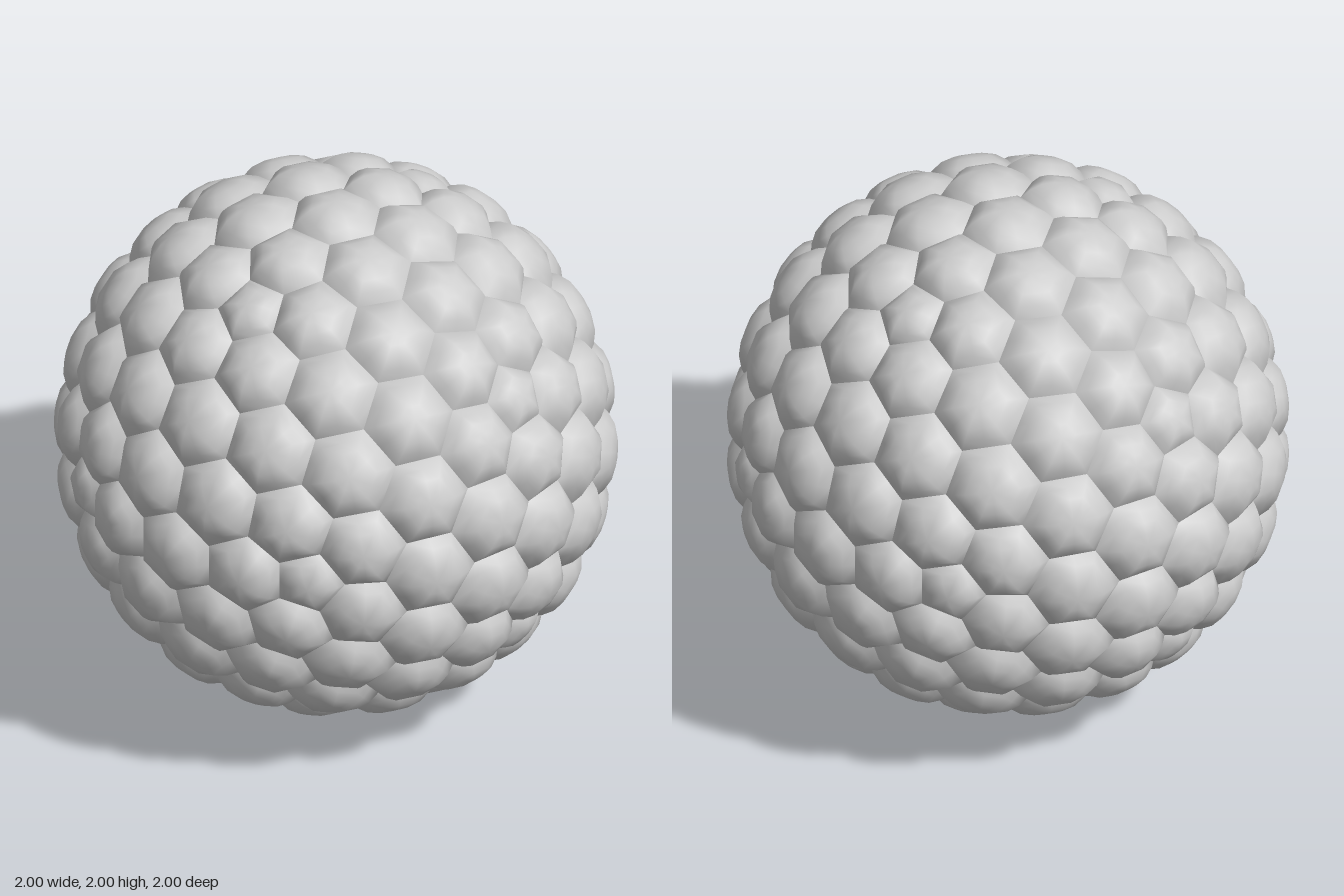
import * as THREE from 'three';
import { mergeGeometries, mergeVertices } from 'three/addons/utils/BufferGeometryUtils.js';

const SEAM = 0.94;                  // radius of the grooves between cells
const RINGS = [0.3, 0.58, 0.82, 1]; // rings of each dome, centre to rim
const SIDE_STEPS = 2;               // segments along each cell side

// One pillow-shaped cell: a polygon rim lifted into a dome with smooth normals
function domeCell(corners, peak) {
  const base = new THREE.Vector3();
  corners.forEach((c) => base.addScaledVector(c, 1 / corners.length));
  const out = base.clone().normalize();
  const height = peak - base.length();

  const rim = [];
  corners.forEach((c, k) => {
    const next = corners[(k + 1) % corners.length];
    for (let j = 0; j < SIDE_STEPS; j++) rim.push(c.clone().lerp(next, j / SIDE_STEPS));
  });

  const points = [out.clone().multiplyScalar(peak)];
  for (const s of RINGS) {
    const lift = height * (1 - Math.pow(s, 3.2));
    for (const p of rim) points.push(base.clone().lerp(p, s).addScaledVector(out, lift));
  }

  const n = rim.length;
  const index = [];
  for (let k = 0; k < n; k++) {
    const k2 = (k + 1) % n;
    index.push(0, 1 + k, 1 + k2);
    for (let r = 0; r < RINGS.length - 1; r++) {
      const a = 1 + r * n, b = a + n;
      index.push(a + k, b + k, b + k2, a + k, b + k2, a + k2);
    }
  }
  const geo = new THREE.BufferGeometry().setFromPoints(points);
  geo.setIndex(index);
  geo.computeVertexNormals();
  return geo;
}

export function createModel() {
  const group = new THREE.Group();
  group.name = 'cellBall';
  const grey = new THREE.MeshStandardMaterial({ color: 0xcccccc });
  grey.name = 'light grey';

  // Icosahedral grid: each grid point becomes a cell, each triangle a cell corner
  let grid = new THREE.IcosahedronGeometry(1, 3);
  grid.deleteAttribute('normal');
  grid.deleteAttribute('uv');
  grid = mergeVertices(grid, 1e-3);
  const pos = grid.attributes.position;
  const idx = grid.index.array;
  const point = (i) => new THREE.Vector3().fromBufferAttribute(pos, i);

  const around = Array.from({ length: pos.count }, () => []);
  for (let t = 0; t < idx.length; t += 3) {
    const ids = [idx[t], idx[t + 1], idx[t + 2]];
    const corner = new THREE.Vector3();
    ids.forEach((i) => corner.add(point(i)));
    corner.setLength(SEAM);
    ids.forEach((i) => around[i].push(corner));
  }

  // Order the corners counter-clockwise and build the domes
  const hexagons = [], pentagons = [];
  around.forEach((corners, i) => {
    const n = point(i).normalize();
    const u = corners[0].clone().addScaledVector(n, -corners[0].dot(n)).normalize();
    const v = n.clone().cross(u);
    const angle = (c) => Math.atan2(c.dot(v), c.dot(u));
    corners.sort((a, b) => angle(a) - angle(b));
    if (corners.length === 5) pentagons.push(domeCell(corners, 0.985));
    else hexagons.push(domeCell(corners, 1));
  });

  for (const [name, cells] of [['hexagonCells', hexagons], ['pentagonCells', pentagons]]) {
    const mesh = new THREE.Mesh(mergeGeometries(cells), grey);
    mesh.name = name;
    mesh.position.y = 1;
    group.add(mesh);
  }
  return group;
}
